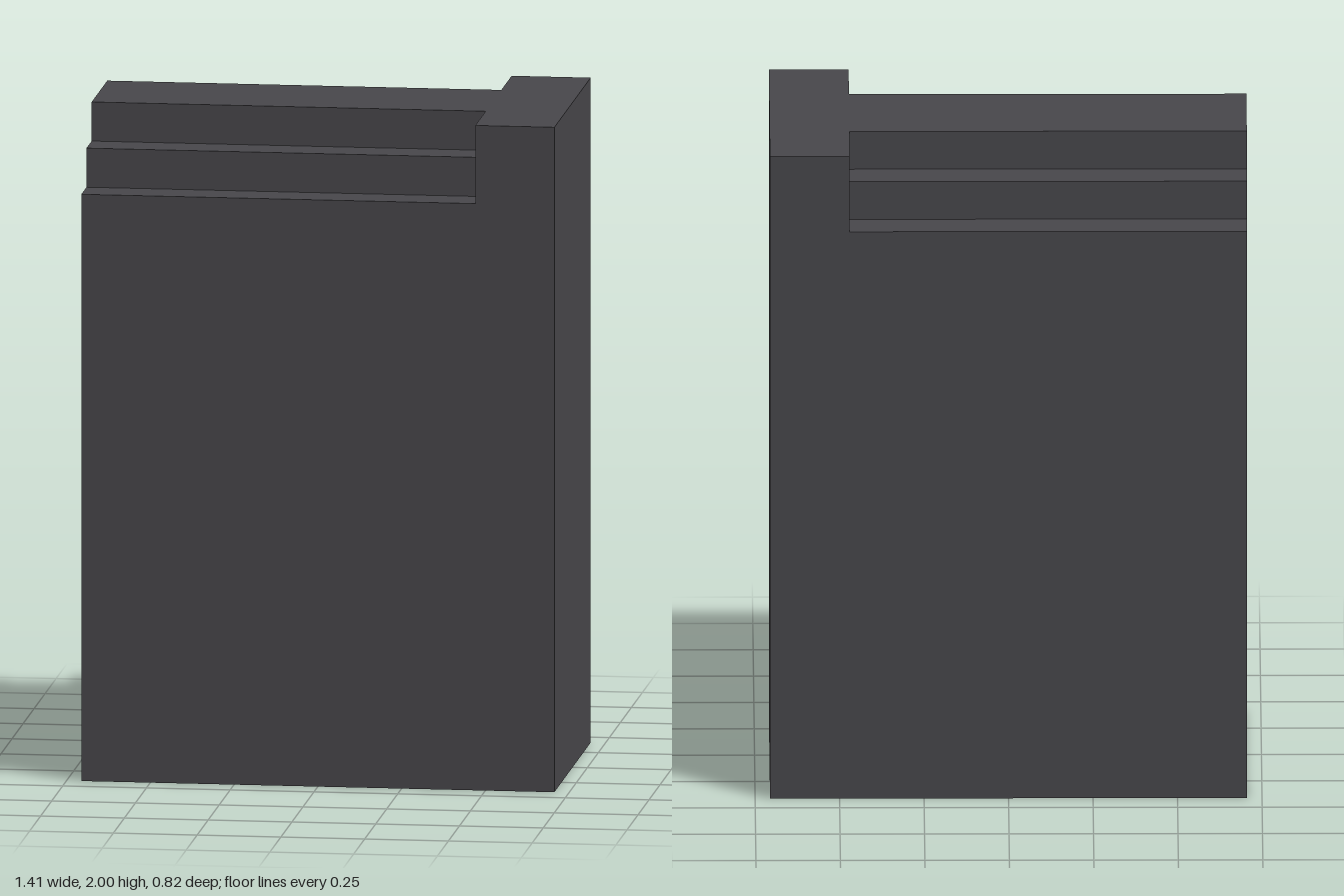
import * as THREE from 'three';

export function createModel() {
  const group = new THREE.Group();
  const charcoal = new THREE.MeshStandardMaterial({ color: 0x48474b });
  charcoal.name = 'charcoal';

  const halfWidth = 0.706, halfDepth = 0.412, height = 2, step = 0.1176, stepEnd = 0.47;

  // Half outline of the stepped top, mirrored across the depth
  const half = [
    [halfDepth, 0],
    [halfDepth, height - 2 * step],
    [halfDepth - step, height - 2 * step],
    [halfDepth - step, height - step],
    [halfDepth - 2 * step, height - step],
    [halfDepth - 2 * step, height],
  ];
  const outline = [...half, ...half.map(([z, y]) => [-z, y]).reverse()];
  const shape = new THREE.Shape(outline.map(([z, y]) => new THREE.Vector2(z, y)));

  // Stepped body, extruded along the width
  const bodyGeometry = new THREE.ExtrudeGeometry(shape, { depth: halfWidth + stepEnd, bevelEnabled: false });
  bodyGeometry.rotateY(Math.PI / 2).translate(-halfWidth, 0, 0);
  const body = new THREE.Mesh(bodyGeometry, charcoal);
  body.name = 'steppedBody';

  // Full-height block closing the steps on the left
  const end = new THREE.Mesh(new THREE.BoxGeometry(halfWidth - stepEnd, height, halfDepth * 2), charcoal);
  end.position.set((halfWidth + stepEnd) / 2, height / 2, 0);
  end.name = 'endBlock';

  group.add(body, end);
  return group;
}
